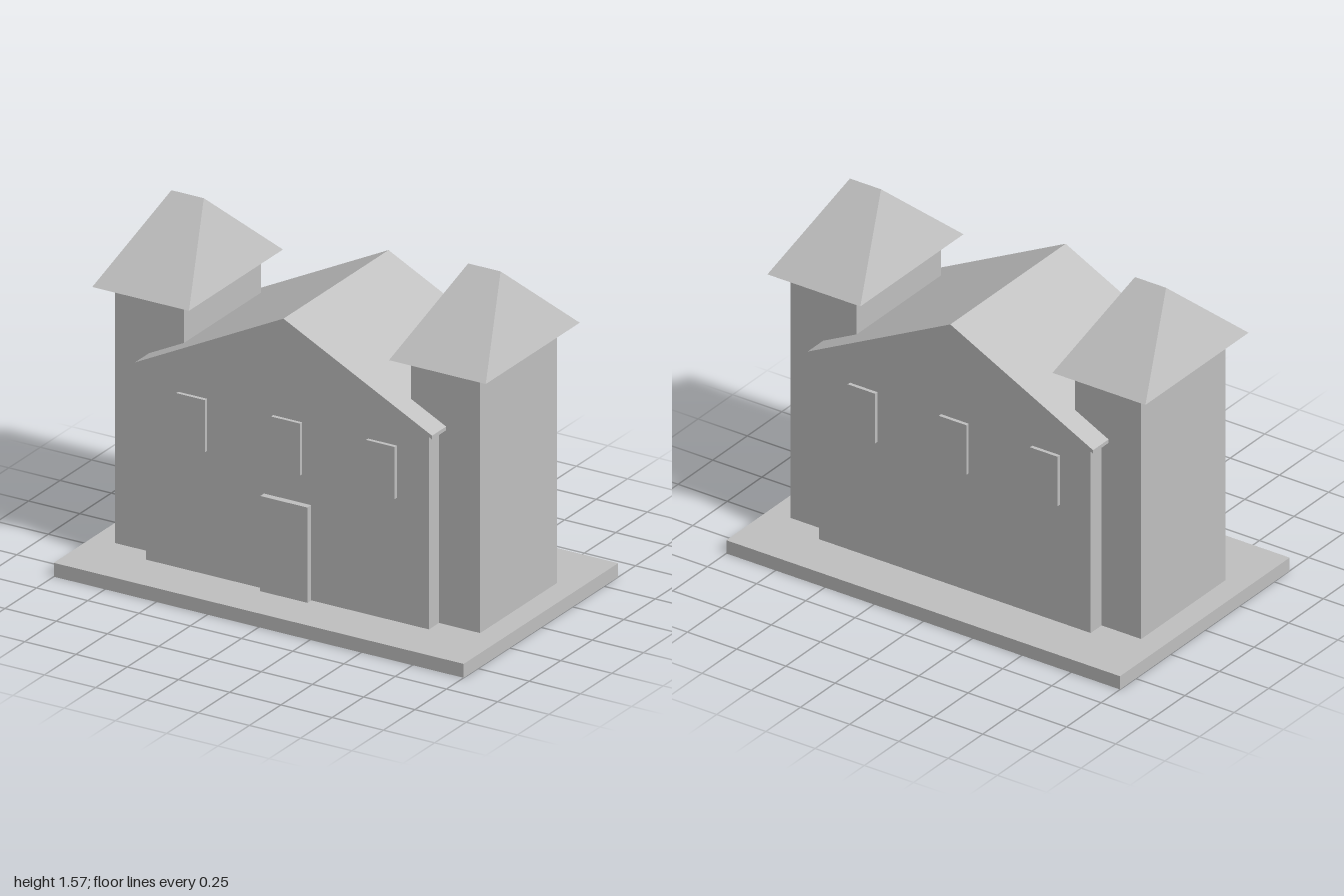
import * as THREE from 'three';

export function createModel() {
  const model = new THREE.Group();
  const stone = new THREE.MeshStandardMaterial({ color: 0xc0c0c0 });
  stone.name = 'light grey';

  const add = (name, geometry, x = 0, y = 0, z = 0) => {
    const mesh = new THREE.Mesh(geometry, stone);
    mesh.name = name;
    mesh.position.set(x, y, z);
    model.add(mesh);
    return mesh;
  };

  // Box given by its centre in x and z and its bottom and top heights
  const block = (name, x, z, w, d, y0, y1) =>
    add(name, new THREE.BoxGeometry(w, y1 - y0, d), x, (y0 + y1) / 2, z);

  // Front outline extruded evenly to both sides of z = 0
  const slab = (name, points, depth) => {
    const shape = new THREE.Shape(points.map(([x, y]) => new THREE.Vector2(x, y)));
    const geometry = new THREE.ExtrudeGeometry(shape, { depth, bevelEnabled: false });
    return add(name, geometry, 0, 0, -depth / 2);
  };

  const floor = 0.063;
  block('base', 0, 0, 2, 1.226, 0, floor);

  // Gabled hall and its thin roof
  slab('hall', [[-0.69, floor], [0.69, floor], [0.69, 0.962], [0, 1.31], [-0.69, 0.962]], 0.768);
  slab('hallRoof', [[-0.725, 0.945], [0, 1.31], [0.725, 0.945],
    [0.725, 0.962], [0, 1.327], [-0.725, 0.962]], 0.834);

  // Door on the front only, windows on front and back
  block('door', 0, 0.395, 0.23, 0.038, floor, 0.495);
  for (const side of [1, -1]) {
    for (const x of [-0.463, 0, 0.463]) {
      block(side > 0 ? 'frontWindow' : 'backWindow', x, side * 0.389, 0.14, 0.024, 0.624, 0.861);
    }
  }

  // Towers with hipped roofs whose short ridge runs along x
  for (const side of [1, -1]) {
    const prefix = side > 0 ? 'left' : 'right';
    block(prefix + 'Tower', side * 0.7225, 0, 0.337, 0.61, floor, 1.234);

    const roof = new THREE.BoxGeometry(0.472, 0.336, 0.746).toNonIndexed();
    const p = roof.attributes.position;
    for (let i = 0; i < p.count; i++) {
      if (p.getY(i) > 0) p.setXYZ(i, Math.sign(p.getX(i)) * 0.079, p.getY(i), 0);
    }
    roof.computeVertexNormals();
    add(prefix + 'TowerRoof', roof, side * 0.724, 1.234 + 0.168, 0);
  }

  return model;
}
